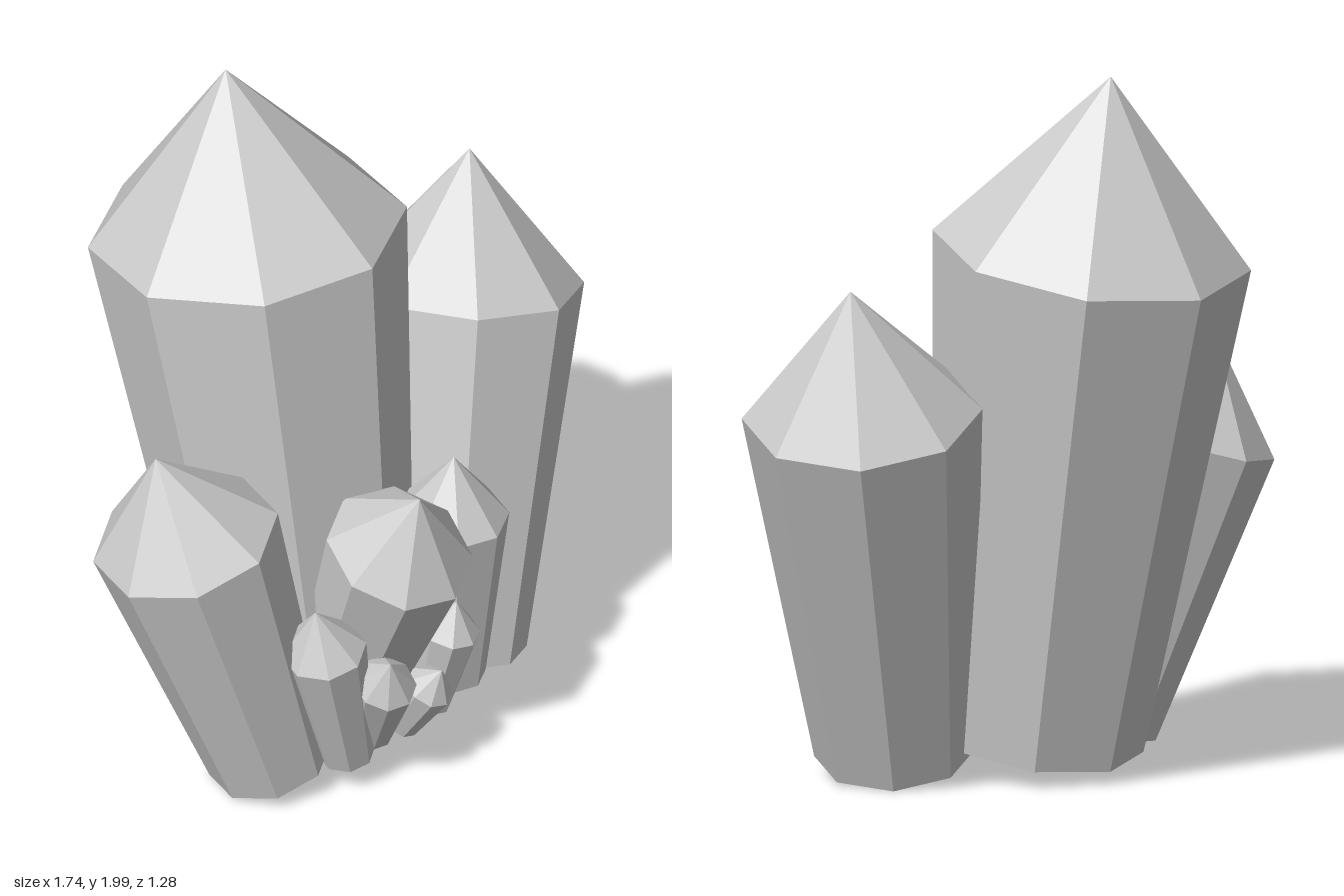
import * as THREE from 'three';

const material = new THREE.MeshStandardMaterial({ color: 0xcccccc, flatShading: true });
const UP = new THREE.Vector3(0, 1, 0);

// One eight-sided crystal: closed foot, widening shaft and pointed cap, leaning from base to tip.
function crystal(name, base, tip, shoulder, footRadius, shoulderRadius) {
  const start = new THREE.Vector3(...base);
  const axis = new THREE.Vector3(...tip).sub(start);
  const length = axis.length();
  const profile = [
    [0, 0],
    [footRadius, 0],
    [shoulderRadius, length * shoulder],
    [0, length],
  ].map(([r, y]) => new THREE.Vector2(r, y));

  const mesh = new THREE.Mesh(new THREE.LatheGeometry(profile, 8), material);
  mesh.name = name;
  mesh.scale.set(0.98, 1, 1.04); // slightly deeper than wide
  mesh.quaternion.setFromUnitVectors(UP, axis.normalize());
  mesh.position.copy(start);
  return mesh;
}

export function createModel() {
  const group = new THREE.Group();
  group.name = 'crystalCluster';

  // name, base centre, tip, shoulder height along the axis, foot radius, shoulder radius
  const crystals = [
    // Large crystals at the back and sides
    ['mainCrystal', [-0.07, 0.09, 0.03], [-0.07, 2, -0.27], 0.738, 0.29, 0.438],
    ['leftLargeCrystal', [0.29, 0.07, 0.22], [0.65, 1.455, 0], 0.735, 0.22, 0.33],
    ['rightLargeCrystal', [-0.42, 0.06, 0.185], [-0.7, 1.157, 0.01], 0.738, 0.172, 0.262],
    // Medium crystals in front
    ['frontCrystal', [-0.1, 0.12, 0.18], [-0.19, 0.978, 0.53], 0.74, 0.14, 0.205],
    ['leftMediumCrystal', [0.16, 0.11, 0.34], [0.145, 0.86, 0.37], 0.735, 0.1, 0.155],
    ['rightMediumCrystal', [-0.3, 0.1, 0.36], [-0.445, 0.66, 0.37], 0.735, 0.078, 0.118],
    // Small shards at the foot
    ['rightShard', [-0.215, 0.13, 0.38], [-0.32, 0.49, 0.535], 0.72, 0.055, 0.086],
    ['middleShard', [-0.12, 0.12, 0.41], [-0.125, 0.37, 0.555], 0.7, 0.045, 0.067],
    ['leftShard', [0.01, 0.12, 0.4], [0.015, 0.495, 0.49], 0.74, 0.056, 0.084],
  ];
  for (const spec of crystals) group.add(crystal(...spec));

  return group;
}
